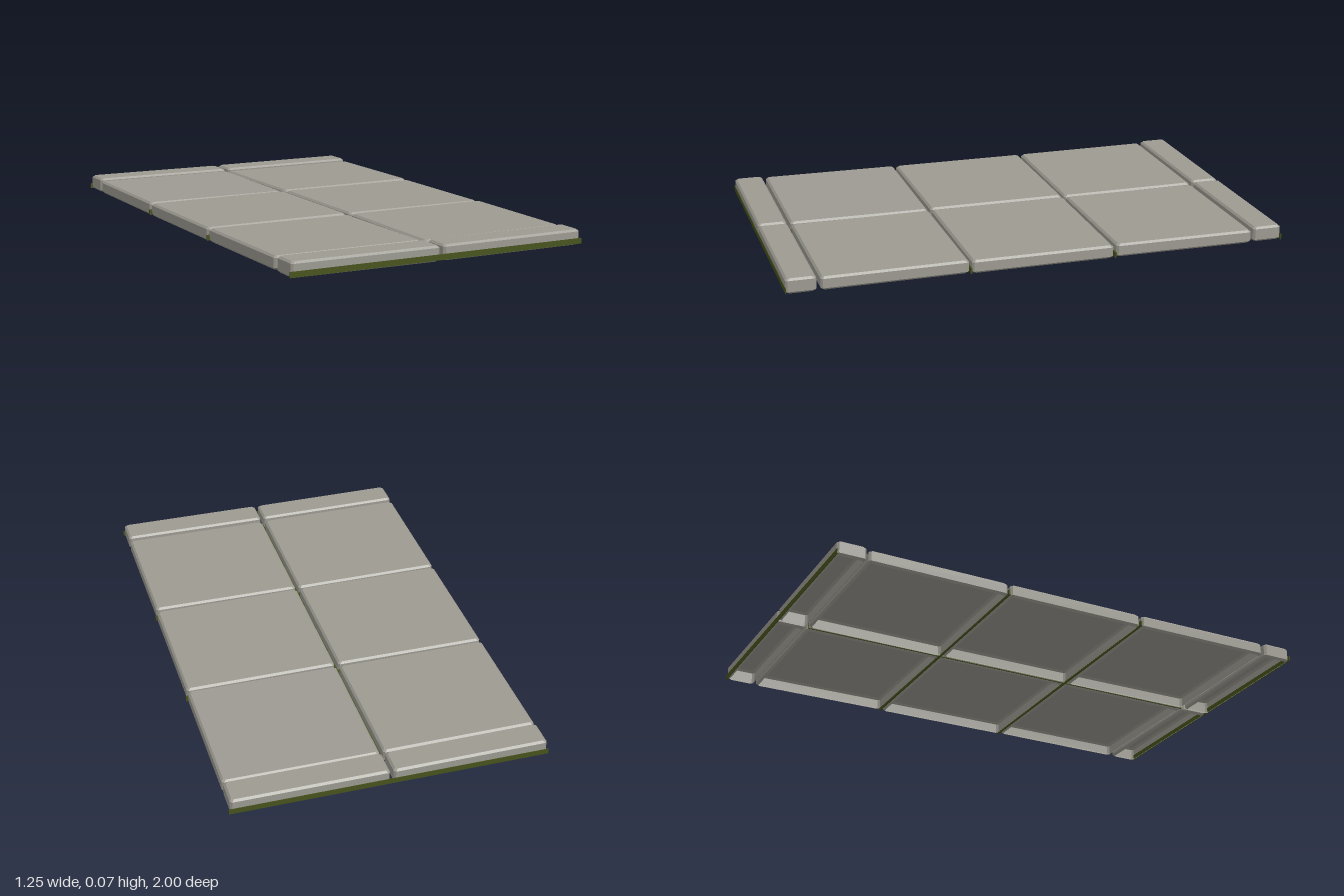
import * as THREE from 'three';

const stone = new THREE.MeshStandardMaterial({ color: 0x9c9a91, side: THREE.DoubleSide, flatShading: true });
stone.name = 'weathered stone';
const moss = new THREE.MeshStandardMaterial({ color: 0x46521c, side: THREE.DoubleSide });
moss.name = 'dark moss';

// Open-bottomed slab with clipped corners and chamfered rims
function slabGeometry(w, h, d) {
  const sections = [[0.008, 0], [0, 0.008], [0, h - 0.008], [0.008, h]]; // inset, height
  const pos = [], idx = [];
  for (const [inset, y] of sections) {
    const a = w / 2 - inset, b = d / 2 - inset, c = 0.008;
    const ring = [[a, b - c], [a - c, b], [c - a, b], [-a, b - c], [-a, c - b], [c - a, -b], [a - c, -b], [a, c - b]];
    for (const [x, z] of ring) pos.push(x, y, z);
  }
  for (let s = 0; s < 3; s++) {
    for (let i = 0; i < 8; i++) {
      const p = s * 8 + i, q = s * 8 + (i + 1) % 8;
      idx.push(p, q, p + 8, q, q + 8, p + 8);
    }
  }
  // Top face, wound to face upward
  for (let i = 1; i < 7; i++) idx.push(24, 24 + i + 1, 24 + i);
  // Walls are wound outward
  for (let i = 0; i < 3 * 8 * 6; i += 3) [idx[i + 1], idx[i + 2]] = [idx[i + 2], idx[i + 1]];
  // Ring order runs clockwise seen from below, so flip everything once
  for (let i = 0; i < idx.length; i += 3) {
    const [p, q, r] = [idx[i], idx[i + 1], idx[i + 2]].map(k => new THREE.Vector3().fromArray(pos, k * 3));
    const n = q.clone().sub(p).cross(r.clone().sub(p));
    const out = p.add(q).add(r).divideScalar(3).sub(new THREE.Vector3(0, h / 2, 0));
    if (n.dot(out) < 0) [idx[i + 1], idx[i + 2]] = [idx[i + 2], idx[i + 1]];
  }
  const g = new THREE.BufferGeometry();
  g.setAttribute('position', new THREE.Float32BufferAttribute(pos, 3));
  g.setIndex(idx);
  const flat = g.toNonIndexed();
  flat.computeVertexNormals();
  return flat;
}

export function createModel() {
  const group = new THREE.Group();
  const add = (name, geometry, material, x, y, z) => {
    const mesh = new THREE.Mesh(geometry, material);
    mesh.name = name;
    mesh.position.set(x, y, z);
    group.add(mesh);
    return mesh;
  };

  // Six paving slabs, each settled at a slightly different tilt
  const slab = slabGeometry(0.609, 0.053, 0.571);
  [-1, 0, 1].forEach((row, r) => {
    for (const side of [-1, 1]) {
      const m = add('pavingSlab', slab, stone, side * 0.312, 0.005, row * 0.583 - 0.003);
      m.rotation.set((r - 1) * 0.004 * side, 0, 0.003 * side * (r === 1 ? -1 : 1));
    }
  });

  // Kerb stones at both ends
  const kerb = slabGeometry(0.609, 0.06, 0.117);
  for (const end of [-1, 1]) {
    for (const side of [-1, 1]) {
      const m = add('kerbStone', kerb, stone, side * 0.312, end < 0 ? 0.007 : 0.004, end * 0.9395);
      m.rotation.z = side < 0 ? -0.004 : 0.001;
    }
    // Moss strip along the outer foot of the kerb
    add('kerbMoss', new THREE.BoxGeometry(1.246, 0.022, 0.003), moss, 0, 0.019, end * 0.9985);
  }

  // Moss growing in the joints between slabs
  for (const z of [-0.295, 0.288]) {
    add('crossJointMoss', new THREE.BoxGeometry(1.246, 0.022, 0.006), moss, 0, 0.019, z);
  }
  add('centreJointMoss', new THREE.BoxGeometry(0.006, 0.022, 1.74), moss, 0, 0.019, 0);
  return group;
}
